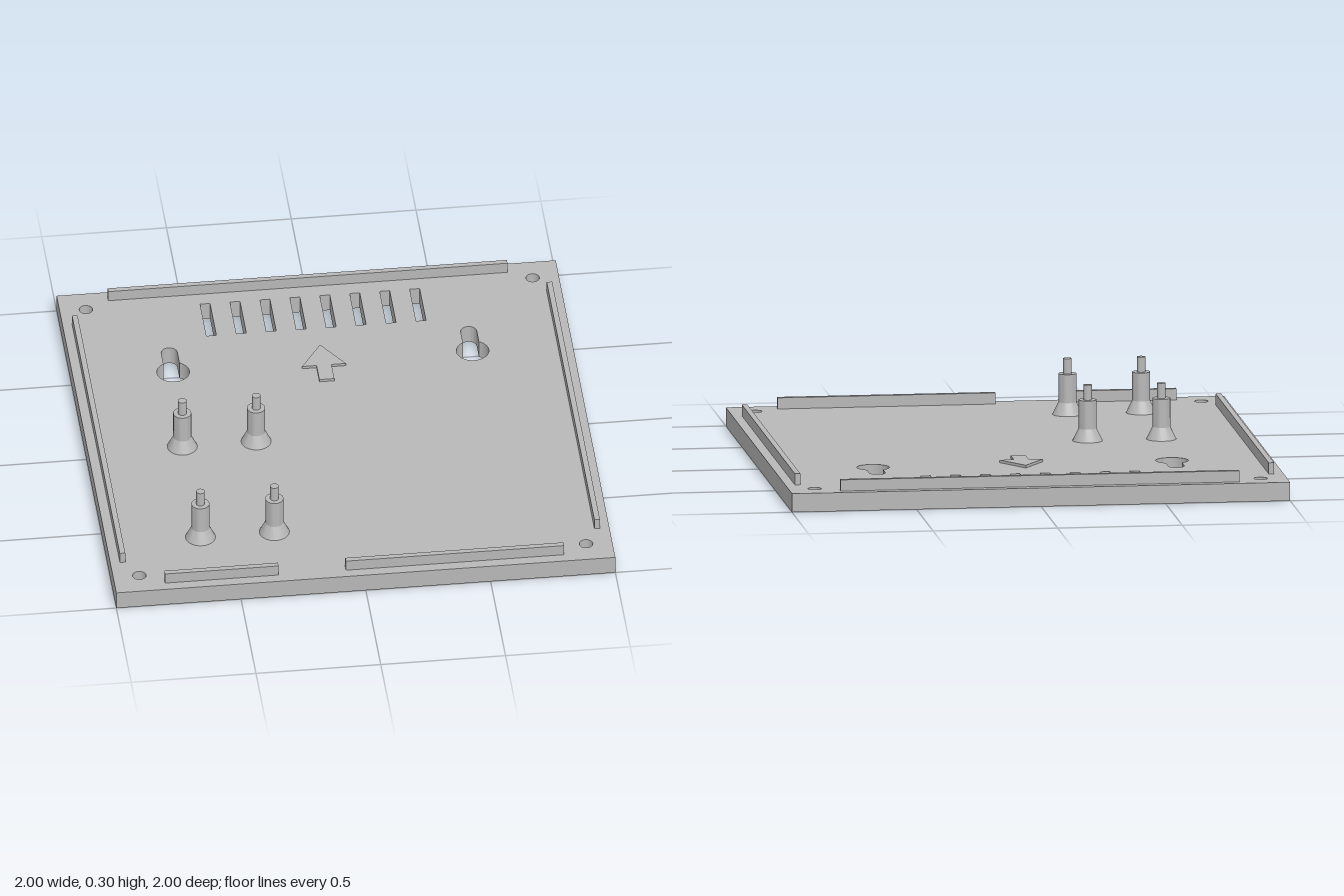
import * as THREE from 'three';
import { toCreasedNormals } from 'three/addons/utils/BufferGeometryUtils.js';

const PLATE_H = 0.075;
const RIM_H = 0.045;
const RIM_W = 0.022;

export function createModel() {
  const model = new THREE.Group();
  const grey = new THREE.MeshStandardMaterial({ color: 0xb8b8b8 });
  grey.name = 'grey plastic';

  const add = (name, geometry, x = 0, y = 0, z = 0) => {
    const mesh = new THREE.Mesh(geometry, grey);
    mesh.name = name;
    mesh.position.set(x, y, z);
    model.add(mesh);
    return mesh;
  };

  // Extrude an outline upwards; outline y points to the back (-z)
  const slab = (shape, depth) => {
    const g = new THREE.ExtrudeGeometry(shape, { depth, bevelEnabled: false, curveSegments: 24 });
    g.rotateX(-Math.PI / 2);
    return toCreasedNormals(g, 0.6);
  };
  const polygon = (Type, pts) => new Type(pts.map(([x, y]) => new THREE.Vector2(x, y)));

  // Base plate with all its cut-outs
  const plate = polygon(THREE.Shape, [[-1, -1], [1, -1], [1, 1], [-1, 1]]);

  // Screw holes in the corners
  for (const x of [-0.895, 0.895]) {
    for (const y of [-0.895, 0.895]) {
      plate.holes.push(new THREE.Path().absarc(x, y, 0.027, 0, Math.PI * 2, true));
    }
  }

  // Ventilation slots
  for (let i = 0; i < 8; i++) {
    const x = -0.42 + i * 0.12;
    plate.holes.push(polygon(THREE.Path, [
      [x - 0.02, 0.663], [x - 0.02, 0.877], [x + 0.02, 0.877], [x + 0.02, 0.663],
    ]));
  }

  // Keyhole hangers: a round opening with a narrow rounded neck
  const R = 0.065, r = 0.032, a = Math.acos(r / R);
  for (const x of [-0.6, 0.6]) {
    const hole = new THREE.Path();
    hole.absarc(x, 0.44, R, a, Math.PI - a - Math.PI * 2, true);
    hole.absarc(x, 0.57, r, Math.PI, 0, true);
    hole.closePath();
    plate.holes.push(hole);
  }
  add('basePlate', slab(plate, PLATE_H));

  // Raised direction arrow
  const arrow = polygon(THREE.Shape, [
    [0, 0.537], [-0.088, 0.4], [-0.03, 0.4], [-0.03, 0.305],
    [0.03, 0.305], [0.03, 0.4], [0.088, 0.4],
  ]);
  add('arrow', slab(arrow, 0.011), 0, PLATE_H, 0);

  // Locating rims along the edges; the front one has a gap
  const rim = (name, x0, x1, z0, z1) => add(name,
    new THREE.BoxGeometry(x1 - x0, RIM_H, z1 - z0),
    (x0 + x1) / 2, PLATE_H + RIM_H / 2, (z0 + z1) / 2);
  rim('backRim', -0.8, 0.8, -0.965, -0.965 + RIM_W);
  rim('frontRimRight', -0.8, -0.345, 0.936, 0.936 + RIM_W);
  rim('frontRimLeft', -0.075, 0.8, 0.936, 0.936 + RIM_W);
  rim('rightRim', -0.962, -0.962 + RIM_W, -0.8, 0.8);
  rim('leftRim', 0.94, 0.94 + RIM_W, -0.8, 0.8);

  // Standoffs: flared foot, post and locating pin
  const profile = [
    [0.06, 0], [0.036, 0.05], [0.036, 0.165],
    [0.017, 0.165], [0.017, 0.226], [0, 0.226],
  ].map(([px, py]) => new THREE.Vector2(px, py));
  const post = toCreasedNormals(new THREE.LatheGeometry(profile, 32), 0.4);
  for (const x of [-0.623, -0.327]) {
    for (const z of [0.058, 0.668]) add('standoff', post, x, PLATE_H, z);
  }

  return model;
}
